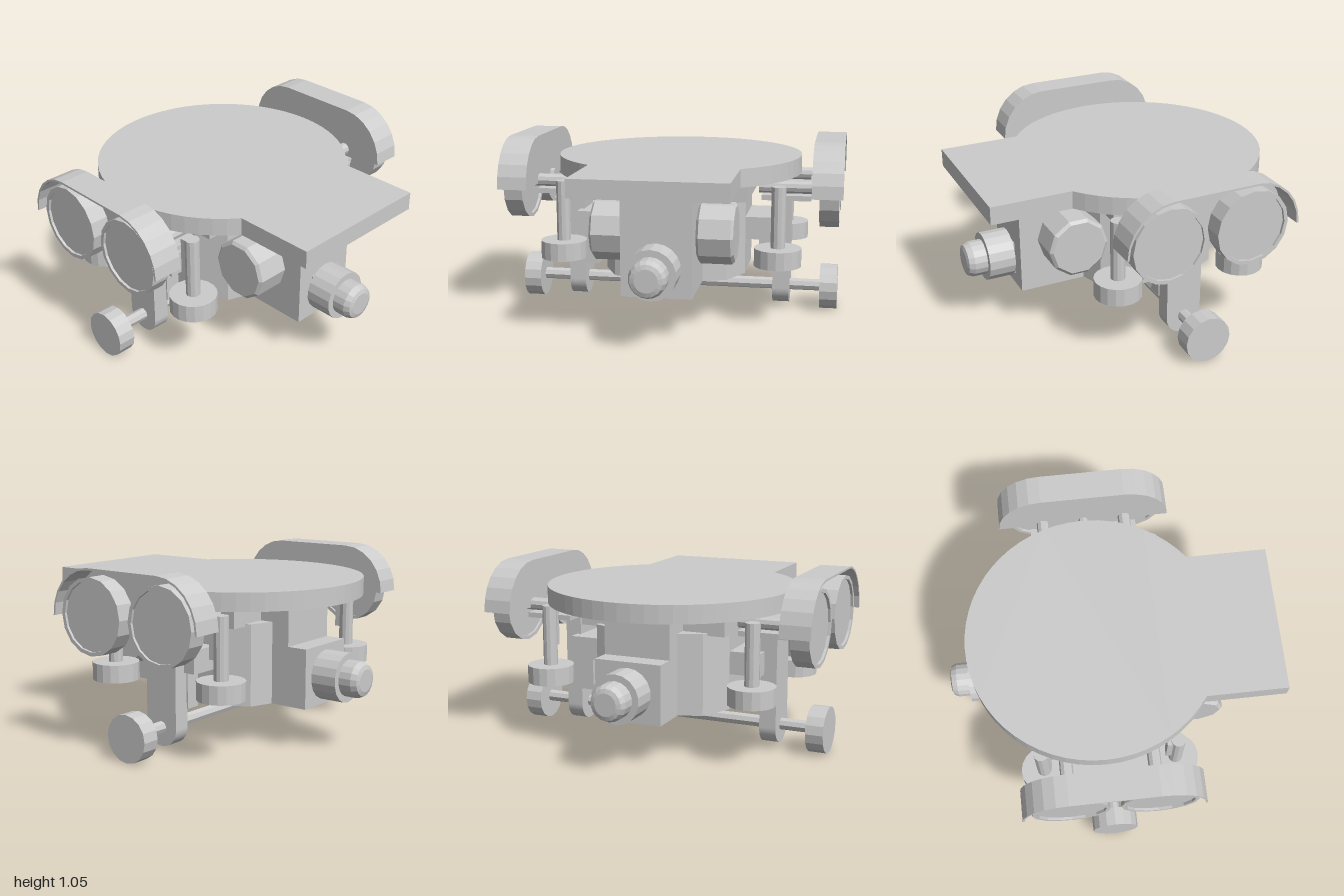
import * as THREE from 'three';

const material = new THREE.MeshStandardMaterial({ color: 0xcccccc, flatShading: true, side: THREE.DoubleSide });

export function createModel() {
  const model = new THREE.Group();

  const add = (name, geometry, x = 0, y = 0, z = 0, parent = model) => {
    const mesh = new THREE.Mesh(geometry, material);
    mesh.name = name;
    mesh.position.set(x, y, z);
    parent.add(mesh);
    return mesh;
  };
  // box given by its limits on each axis
  const box = (name, x0, x1, y0, y1, z0, z1) =>
    add(name, new THREE.BoxGeometry(Math.abs(x1 - x0), y1 - y0, z1 - z0), (x0 + x1) / 2, (y0 + y1) / 2, (z0 + z1) / 2);
  // rod along x
  const rodX = (name, r, x0, x1, y, z, sides = 16) =>
    add(name, new THREE.CylinderGeometry(r, r, Math.abs(x1 - x0), sides).rotateZ(Math.PI / 2), (x0 + x1) / 2, y, z);
  const lathe = (points, sides) =>
    new THREE.LatheGeometry(points.map(p => new THREE.Vector2(...p)), sides);
  const extrude = (shape, depth) =>
    new THREE.ExtrudeGeometry(shape, { depth, bevelEnabled: false, curveSegments: 24 });
  // (x, z) outline standing between two heights
  const upright = (name, shape, y0, y1) => add(name, extrude(shape, y1 - y0).rotateX(Math.PI / 2), 0, y1, 0);
  // (z, y) outline extruded across x
  const across = (name, shape, x0, x1) =>
    add(name, extrude(shape, Math.abs(x1 - x0)).rotateY(-Math.PI / 2), Math.max(x0, x1), 0, 0);
  const polygon = points => new THREE.Shape(points.map(p => new THREE.Vector2(...p)));

  // top deck: a disc with a rectangular front extension
  const deckR = 0.74, deckZ = -0.11, neck = 0.435;
  const a = Math.acos(neck / deckR);
  const deck = new THREE.Shape();
  deck.moveTo(neck, 0.96);
  deck.lineTo(-neck, 0.96);
  deck.absarc(0, deckZ, deckR, Math.PI - a, Math.PI * 2 + a, false);
  deck.closePath();
  upright('deck', deck, 0.835, 0.94);

  // central hull
  box('hullSpine', -0.2, 0.2, 0.245, 0.835, -0.61, 0.72);
  box('rearBlock', -0.2, 0.2, 0.245, 0.59, -0.73, -0.6);
  upright('hullCore', polygon([
    [0.2, 0.33], [0.335, 0.28], [0.425, 0.1], [0.425, -0.27], [0.335, -0.45], [0.2, -0.5],
    [-0.2, -0.5], [-0.335, -0.45], [-0.425, -0.27], [-0.425, 0.1], [-0.335, 0.28], [-0.2, 0.33]
  ]), 0.245, 0.72);
  box('hullShoulder', -0.45, 0.45, 0.705, 0.835, -0.42, 0.25);

  // front and rear thrusters
  const thruster = lathe([[0, 0], [0.143, 0], [0.143, 0.155], [0.105, 0.155], [0.105, 0.23], [0.09, 0.262], [0.065, 0.27], [0, 0.27]], 18);
  for (const s of [1, -1])
    add(s > 0 ? 'frontThruster' : 'rearThruster', thruster, 0, 0.415, s * 0.73).rotation.x = s * Math.PI / 2;
  box('frontThrusterMount', -0.1, 0.1, 0.315, 0.515, 0.7, 0.74);

  // outlines of the wheel cover: around both upper wheels, flat at the bottom
  const arch = r => {
    const points = [], steps = 6;
    for (let i = 0; i <= steps; i++) {
      const t = (i / steps) * Math.PI / 2;
      points.push([0.16 + r * Math.cos(t), 0.77 + (r + 0.015) * Math.sin(t)]);
    }
    for (let i = 0; i <= steps; i++) {
      const t = (1 + i / steps) * Math.PI / 2;
      points.push([-0.34 + r * Math.cos(t), 0.77 + (r + 0.015) * Math.sin(t)]);
    }
    return points;
  };
  const coverWall = polygon(arch(0.27));
  const coverRim = polygon([...arch(0.27), ...arch(0.258).reverse()]);

  // rounded hanger link for the lower wheels
  const link = new THREE.Shape();
  link.moveTo(0.022, 0.72);
  link.lineTo(-0.192, 0.72);
  link.lineTo(-0.192, 0.137);
  link.absarc(-0.085, 0.137, 0.107, Math.PI, Math.PI * 2, false);
  link.closePath();

  // wheel with a raised rim, built along y
  const wheel = lathe([[0, -0.04], [0.198, -0.04], [0.198, -0.055], [0.22, -0.055],
    [0.22, 0.055], [0.198, 0.055], [0.198, 0.04], [0, 0.04]], 16).rotateZ(Math.PI / 2);
  const pod = lathe([[0, 0.105], [0.137, 0.105], [0.137, 0], [0.12, 0], [0.12, 0.06], [0, 0.06]], 18);
  const drum = lathe([[0, -0.105], [0.16, -0.105], [0.178, -0.09],
    [0.178, 0.09], [0.16, 0.105], [0, 0.105]], 10).rotateZ(Math.PI / 2);

  for (const s of [1, -1]) {
    // upper wheels under their cover
    across('wheelCoverWall', coverWall, s * 0.825, s * 0.84);
    across('wheelCoverRim', coverRim, s * 0.825, s * 1.0);
    for (const z of [0.165, -0.335]) {
      add('upperWheel', wheel, s * 0.922, 0.783, z);
      rodX('upperAxle', 0.038, s * 0.51, s * 0.88, 0.79, z - 0.005, 10);
    }
    box('axlePlate', s * 0.53, s * 0.815, 0.72, 0.75, -0.42, 0.23);
    rodX('coverPin', 0.03, s * 0.8, s * 0.84, 0.79, -0.09, 8);

    // side arm, hanger and lower wheel
    box('sideArm', s * 0.4, s * 0.61, 0.455, 0.59, -0.265, 0.1);
    box('hangerBlock', s * 0.5, s * 0.59, 0.245, 0.46, -0.2, 0.03);
    across('hangerLink', link, s * 0.585, s * 0.685);
    rodX('lowerWheel', 0.137, s * 0.87, s * 0.975, 0.137, -0.085);

    // vertical thrusters
    for (const z of [0.31, -0.475]) {
      const inner = z > 0 ? z - 0.045 : z + 0.045;
      add('verticalThruster', pod, s * 0.635, 0.355, z);
      add('verticalThrusterShaft', new THREE.CylinderGeometry(0.042, 0.042, 0.36, 12), s * 0.635, 0.635, z);
      box('shaftBracket', s * 0.61, s * 0.66, 0.57, 0.8, inner - 0.02, inner + 0.02);
    }

    // side drum beside the front column
    add('sideDrum', drum, s * 0.305, 0.565, 0.44);
  }
  rodX('lowerAxle', 0.036, -0.88, 0.88, 0.14, -0.085, 8);

  return model;
}
